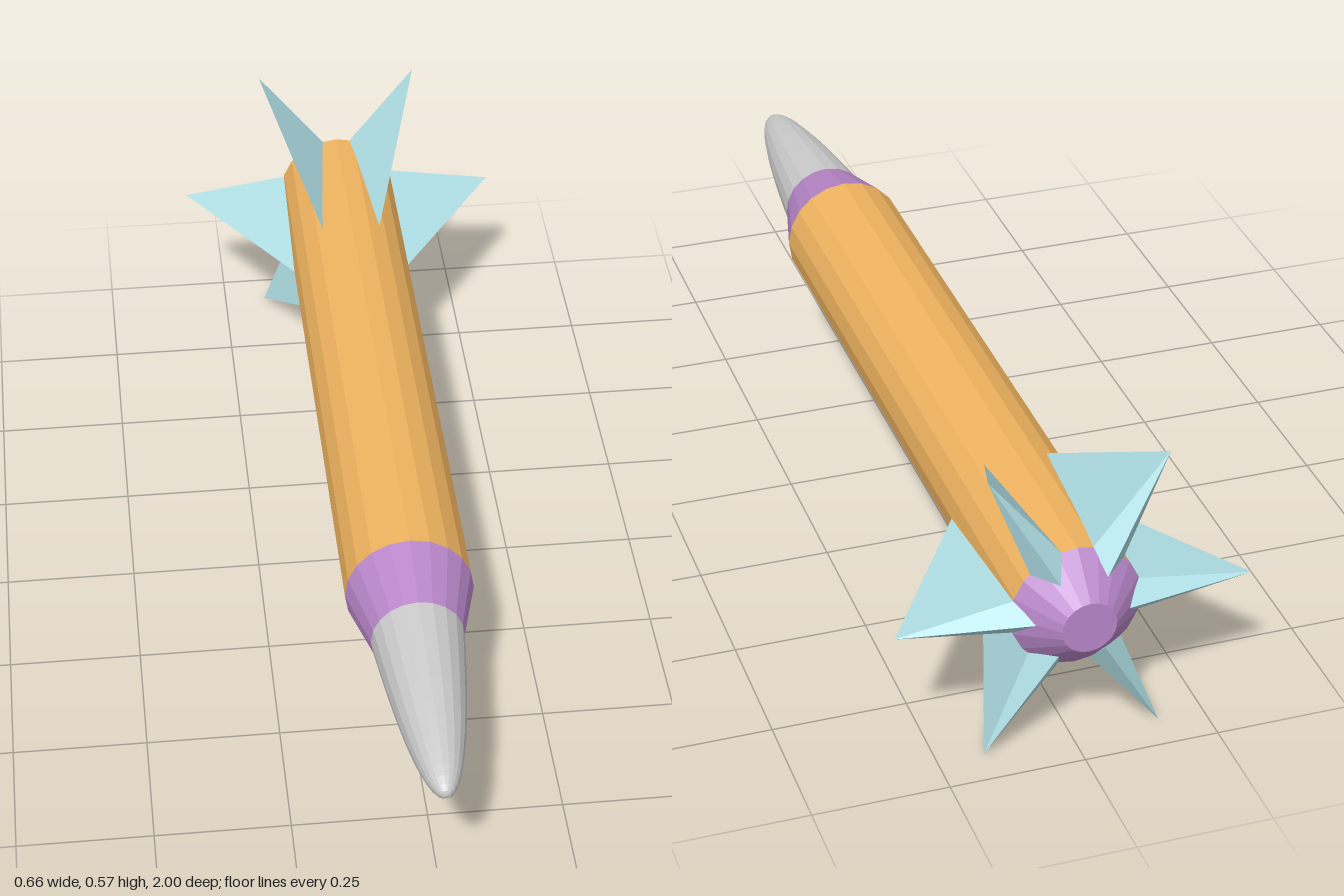
import * as THREE from 'three';

const AXIS_Y = 0.284, SIDES = 20, FINS = 6;

const material = (color) => new THREE.MeshStandardMaterial({ color, flatShading: true });

// Turned part: profile of [radius, z] pairs running from back to front
function turned(name, profile, mat) {
  const geometry = new THREE.LatheGeometry(profile.map(([r, z]) => new THREE.Vector2(r, z)), SIDES);
  geometry.rotateX(Math.PI / 2);
  const mesh = new THREE.Mesh(geometry, mat);
  mesh.name = name;
  return mesh;
}

// Pyramid fin pointing along +x, on a kite-shaped root
function finGeometry() {
  const apex = [0.328, 0, -0.93];
  const root = [[0.119, 0, -0.61], [0.113, 0.033, -0.93], [0.086, 0, -0.967], [0.113, -0.033, -0.93]];
  const positions = [];
  root.forEach((a, i) => positions.push(...apex, ...root[(i + 1) % 4], ...a));
  positions.push(...root[0], ...root[1], ...root[3], ...root[1], ...root[2], ...root[3]);
  const geometry = new THREE.BufferGeometry();
  geometry.setAttribute('position', new THREE.Float32BufferAttribute(positions, 3));
  geometry.computeVertexNormals();
  return geometry;
}

export function createModel() {
  const rocket = new THREE.Group();
  rocket.name = 'rocket';
  rocket.position.y = AXIS_Y;

  const orange = material(0xf0b460);
  const purple = material(0xb987ca);
  const blue = material(0xb0e0e6);
  const grey = material(0xcccccc);

  // Rounded nose, with rings closing up toward the tip
  const nose = [];
  for (let i = 0; i <= 12; i++) {
    const s = (1 - i / 12) ** 2;
    nose.push([0.086 * s ** 0.45, 1 - 0.415 * s]);
  }

  rocket.add(
    turned('body', [[0.12, -0.93], [0.12, 0.45]], orange),
    turned('collar', [[0.12, 0.45], [0.086, 0.585]], purple),
    turned('nose', nose, grey),
    turned('tail', [[0, -1], [0.05, -1], [0.12, -0.93]], purple),
  );

  // Ring of fins
  const fin = finGeometry();
  for (let i = 0; i < FINS; i++) {
    const mesh = new THREE.Mesh(fin, blue);
    mesh.name = `fin${i + 1}`;
    mesh.rotation.z = (i / FINS) * Math.PI * 2;
    rocket.add(mesh);
  }

  const model = new THREE.Group();
  model.add(rocket);
  return model;
}
